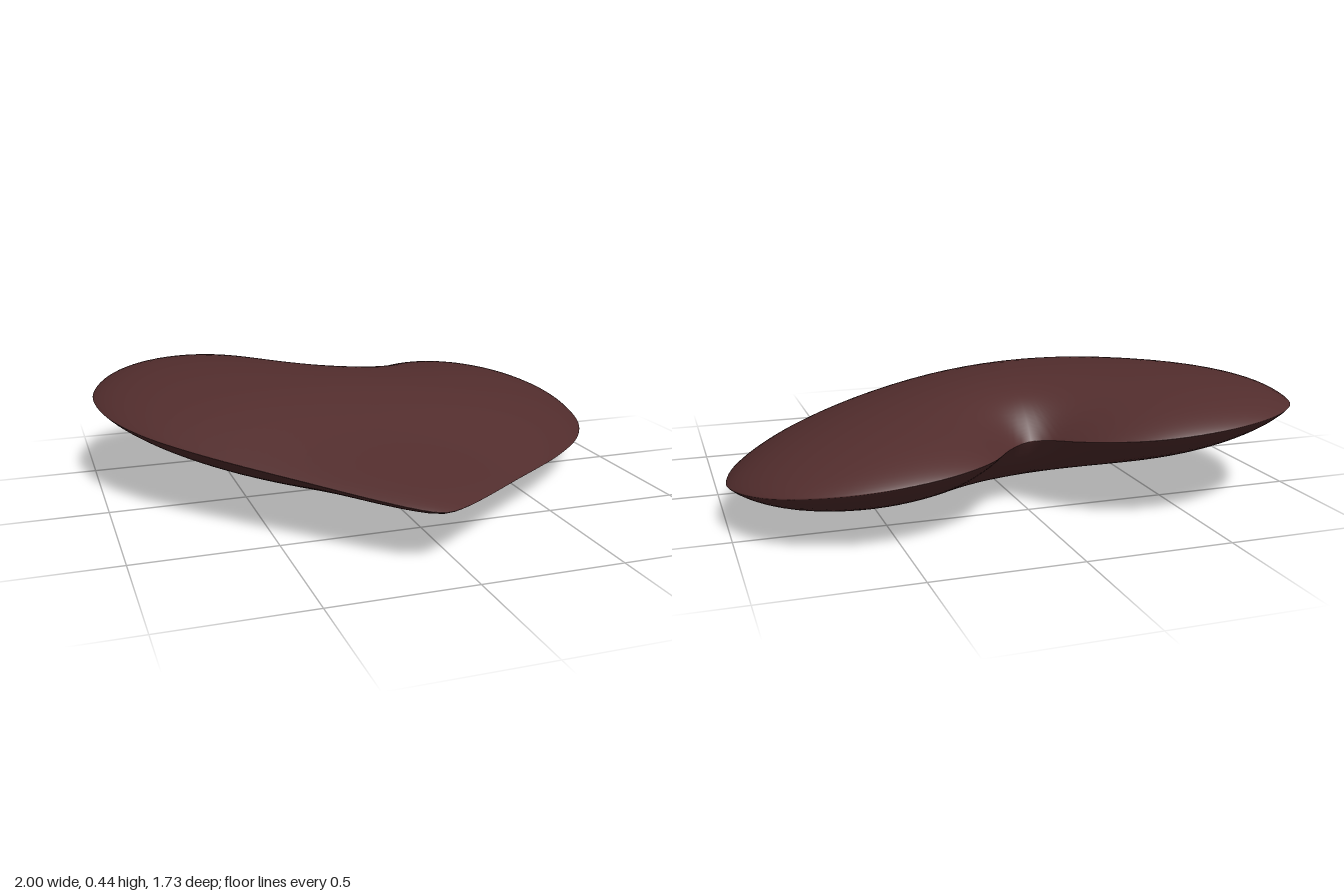
import * as THREE from 'three';

// Heart outline in plan (x, z): notch, -x lobe, tip, +x lobe
const OUTLINE = [
  [0, -0.518], [-0.055, -0.555], [-0.12, -0.65], [-0.22, -0.76], [-0.335, -0.835],
  [-0.495, -0.866], [-0.665, -0.84], [-0.8, -0.775], [-0.905, -0.67], [-0.975, -0.51],
  [-1, -0.36], [-0.97, -0.155], [-0.88, 0.04], [-0.72, 0.245], [-0.45, 0.52],
  [-0.13, 0.83], [-0.065, 0.86], [0, 0.833], [0.35, 0.55], [0.645, 0.3],
  [0.83, 0.1], [0.945, -0.105], [0.995, -0.32], [0.993, -0.41], [0.955, -0.535],
  [0.885, -0.647], [0.785, -0.733], [0.655, -0.797], [0.51, -0.818], [0.35, -0.79],
  [0.2, -0.705], [0.083, -0.567],
];
const CENTRE = { x: -0.02, z: -0.12 };
const SEGMENTS = 144;
const RINGS = 24;

// Height of the gently tilted middle surface
const midHeight = (x, z) =>
  0.19 - 0.09 * x - 0.042 * (z - 0.86) + 0.027 * (z - 0.86) * (z + 0.33);

// Smooth distance from a point to the rim, averaged over all directions
function rimDistance(rim, x, z) {
  let sum = 0;
  for (let i = 0; i < SEGMENTS; i++) {
    const a = rim[i], b = rim[(i + 1) % SEGMENTS];
    const ax = a.x - x, az = a.z - z, bx = b.x - x, bz = b.z - z;
    const angle = Math.atan2(az * bx - ax * bz, ax * bx + az * bz);
    sum += (1 / Math.hypot(ax, az) + 1 / Math.hypot(bx, bz)) * Math.tan(angle / 2);
  }
  return 2 / sum;
}

function heartGeometry() {
  const curve = new THREE.CatmullRomCurve3(
    OUTLINE.map(([x, z]) => new THREE.Vector3(x, 0, z)), true, 'centripetal');
  const rim = curve.getSpacedPoints(SEGMENTS).slice(0, SEGMENTS);
  const fullDistance = rimDistance(rim, CENTRE.x, CENTRE.z);
  const positions = [];
  const index = [];

  // Pillow profile that thins a little towards the tip
  const puff = (x, z) =>
    Math.pow(rimDistance(rim, x, z) / fullDistance, 0.9)
    * (1 - 0.3 * THREE.MathUtils.smoothstep(z, 0, 0.6));

  function addPoint(x, z, lift) {
    positions.push(x, midHeight(x, z) + lift, z);
    return positions.length / 3 - 1;
  }

  // One ring of points at fraction t of the way to the rim
  function addRing(t, height) {
    const start = positions.length / 3;
    for (const r of rim) {
      const x = THREE.MathUtils.lerp(CENTRE.x, r.x, t);
      const z = THREE.MathUtils.lerp(CENTRE.z, r.z, t);
      addPoint(x, z, t < 1 ? height * puff(x, z) : 0);
    }
    return start;
  }

  // Both faces share the rim so the edge shades smoothly
  const rimStart = addRing(1, 0);
  for (const height of [0.192, -0.2]) {
    const face = (a, b, c) => (height > 0 ? index.push(a, b, c) : index.push(a, c, b));
    const centre = addPoint(CENTRE.x, CENTRE.z, height);
    let inner = -1;
    for (let k = 1; k <= RINGS; k++) {
      const t = Math.sin((k / RINGS) * Math.PI / 2);
      const outer = k === RINGS ? rimStart : addRing(t, height);
      for (let i = 0; i < SEGMENTS; i++) {
        const j = (i + 1) % SEGMENTS;
        if (inner < 0) {
          face(centre, outer + i, outer + j);
        } else {
          face(inner + i, outer + i, outer + j);
          face(inner + i, outer + j, inner + j);
        }
      }
      inner = outer;
    }
  }

  const geometry = new THREE.BufferGeometry();
  geometry.setAttribute('position', new THREE.Float32BufferAttribute(positions, 3));
  geometry.setIndex(index);
  geometry.computeVertexNormals();
  // Rest the lowest point on the ground
  geometry.computeBoundingBox();
  geometry.translate(0, -geometry.boundingBox.min.y, 0);
  return geometry;
}

export function createModel() {
  const chocolate = new THREE.MeshStandardMaterial({ color: 0x522d2d });
  chocolate.name = 'chocolate brown';
  const heart = new THREE.Mesh(heartGeometry(), chocolate);
  heart.name = 'heart';
  const model = new THREE.Group();
  model.name = 'puffedHeart';
  model.add(heart);
  return model;
}
